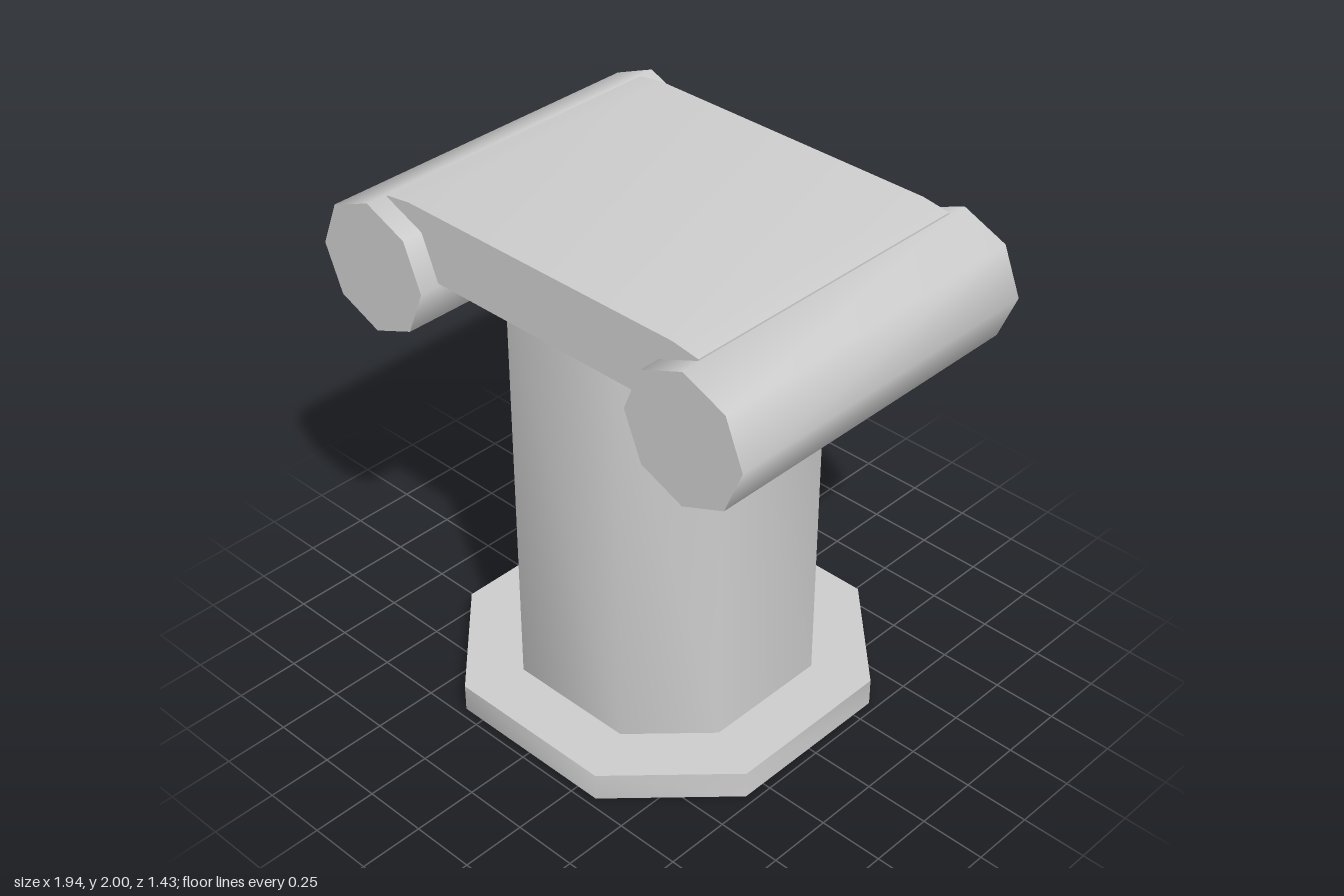
import * as THREE from 'three';
import { toCreasedNormals } from 'three/addons/utils/BufferGeometryUtils.js';

const material = new THREE.MeshStandardMaterial({ color: 0xcccccc });

// Straight prism with its depth centred on z; 45 degree side edges stay smooth, caps sharp
function prism(name, points, depth) {
  const shape = new THREE.Shape(points.map(([x, y]) => new THREE.Vector2(x, y)));
  const geometry = new THREE.ExtrudeGeometry(shape, { depth, bevelEnabled: false });
  geometry.translate(0, 0, -depth / 2);
  const mesh = new THREE.Mesh(toCreasedNormals(geometry, THREE.MathUtils.degToRad(50)), material);
  mesh.name = name;
  return mesh;
}

// Upright prism with a square, corner-cut plan: a = half width, b = half of the flat side
function uprightOctagon(name, a, b, y0, y1) {
  const plan = [[a, -b], [a, b], [b, a], [-b, a], [-a, b], [-a, -b], [-b, -a], [b, -a]];
  const mesh = prism(name, plan, y1 - y0);
  mesh.geometry.rotateX(-Math.PI / 2);
  mesh.position.y = (y0 + y1) / 2;
  return mesh;
}

export function createModel() {
  const model = new THREE.Group();
  model.name = 'column';

  // Base plate and shaft
  model.add(uprightOctagon('base', 0.717, 0.34, 0, 0.11));
  model.add(uprightOctagon('shaft', 0.503, 0.253, 0.11, 1.735));

  // Top slab with slightly sloping ends
  const slab = [[-0.71, 1.74], [0.71, 1.74], [0.71, 1.984], [0.6, 2], [-0.6, 2], [-0.71, 1.984]];
  model.add(prism('topSlab', slab, 1.205));

  // Eight-sided side rolls, running front to back
  const ring = Array.from({ length: 8 }, (_, i) => {
    const t = (i * Math.PI) / 4;
    return [0.248 * Math.cos(t), 0.25 * Math.sin(t)];
  });
  for (const side of [1, -1]) {
    const roll = prism(side > 0 ? 'leftRoll' : 'rightRoll', ring, 1.355);
    roll.position.set(side * 0.72, 1.732, 0.005);
    model.add(roll);
  }
  return model;
}
